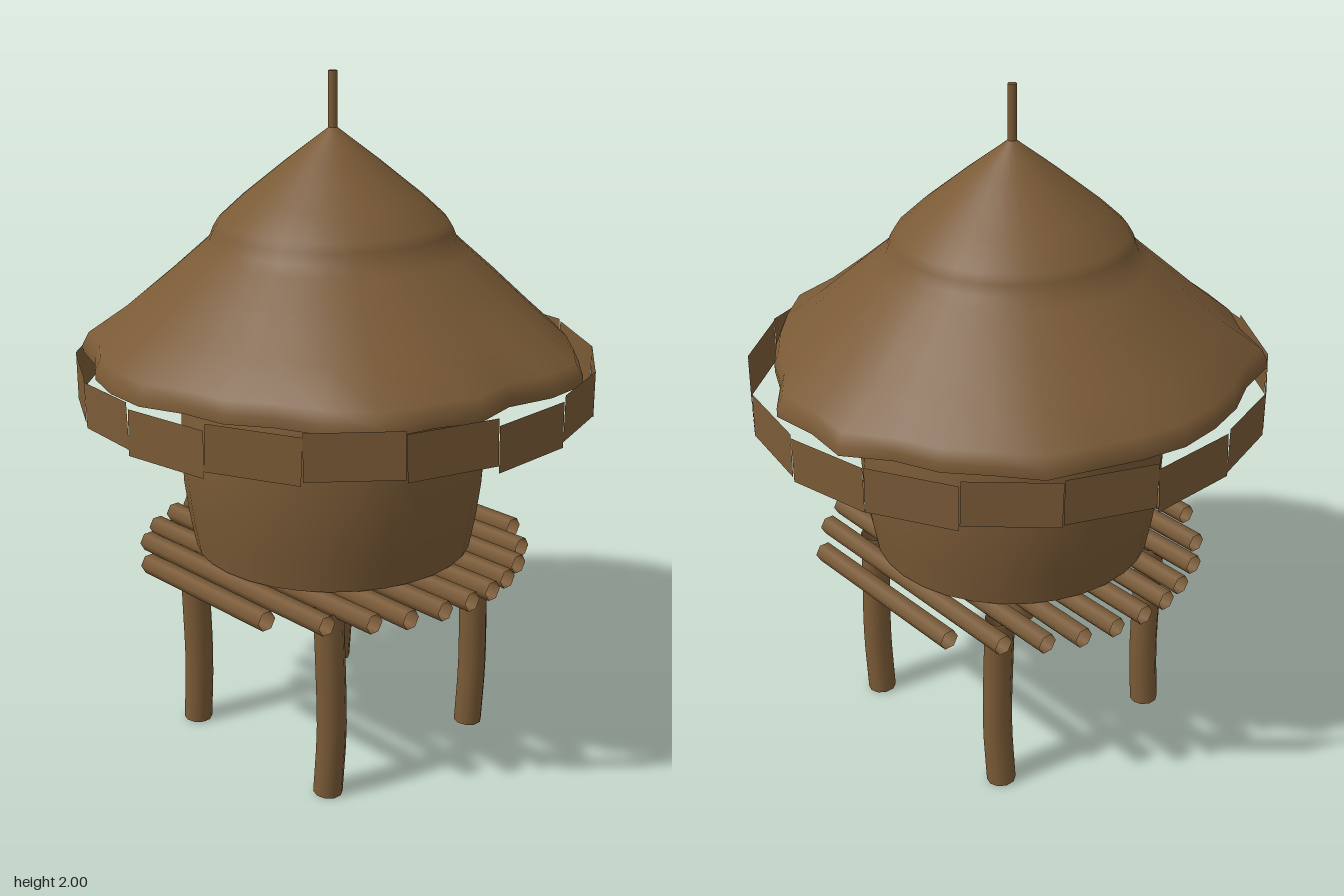
import * as THREE from 'three';
import { mergeVertices } from 'three/addons/utils/BufferGeometryUtils.js';

const CX = -0.01, CZ = 0.005; // axis of the hut
const v2 = (p) => new THREE.Vector2(p[0], p[1]);

// Small seeded random in -1..1
function seeded(seed) {
  let s = seed;
  return () => {
    s = (s * 16807) % 2147483647;
    return (s / 2147483647) * 2 - 1;
  };
}

// Rim radius of the thatch for every 1/32 turn, from +x towards +z
const RIM = [
  0.67, 0.714, 0.704, 0.743, 0.707, 0.667, 0.681, 0.663, 0.70, 0.704, 0.70,
  0.683, 0.728, 0.677, 0.682, 0.684, 0.69, 0.68, 0.677, 0.703, 0.675, 0.682,
  0.67, 0.724, 0.695, 0.724, 0.672, 0.677, 0.686, 0.707, 0.745, 0.714,
];

function smoothLathe(points, segments) {
  const g = new THREE.LatheGeometry(points.map(v2), segments);
  g.deleteAttribute('uv');
  g.deleteAttribute('normal');
  return mergeVertices(g, 1e-4);
}

// Two-tier thatch whose outer part follows the uneven rim
function roofGeometry() {
  const g = smoothLathe([
    [0.69, 1.19], [0.69, 1.215], [0.675, 1.25], [0.58, 1.33], [0.47, 1.43],
    [0.385, 1.505], [0.352, 1.535], [0.34, 1.565], [0.325, 1.59], [0.26, 1.65],
    [0.13, 1.755], [0.012, 1.845],
  ], 32);
  const pos = g.attributes.position;
  for (let i = 0; i < pos.count; i++) {
    const x = pos.getX(i), z = pos.getZ(i), r = Math.hypot(x, z);
    const k = (Math.round((Math.atan2(z, x) / (Math.PI * 2)) * 32) + 32) % 32;
    const t = Math.pow(Math.max(0, (r - 0.36) / 0.33), 2);
    const f = 1 + t * (RIM[k] / 0.69 - 1);
    pos.setX(i, x * f);
    pos.setZ(i, z * f);
  }
  g.computeVertexNormals();
  return g;
}

export function createModel() {
  const group = new THREE.Group();
  const wood = new THREE.MeshStandardMaterial({ color: 0x7a5a36, side: THREE.DoubleSide });
  wood.name = 'brown wood';
  const rand = seeded(4711);

  function add(name, geometry, x = 0, y = 0, z = 0) {
    const m = new THREE.Mesh(geometry, wood);
    m.name = name;
    m.position.set(x, y, z);
    group.add(m);
    return m;
  }

  // Roof and finial
  add('roof', roofGeometry(), CX, 0, CZ);
  add('finial', new THREE.CylinderGeometry(0.013, 0.013, 0.17, 8), CX, 1.915, CZ);

  // Barrel-shaped wall
  const wall = smoothLathe([
    [0.412, 0.622], [0.43, 0.72], [0.443, 0.82], [0.448, 0.93], [0.444, 1.03],
    [0.43, 1.13], [0.40, 1.24], [0.335, 1.37],
  ], 32);
  wall.computeVertexNormals();
  add('wall', wall, CX, 0, CZ);

  // Hanging skirt of thin upright panels around the eave
  for (let i = 0; i < 18; i++) {
    const a = (i / 18) * Math.PI * 2;
    const panel = add('skirtPanel', new THREE.PlaneGeometry(0.258, 0.13),
      Math.cos(a) * 0.738, 1.137 + rand() * 0.012, Math.sin(a) * 0.738);
    panel.rotation.set(0, Math.PI / 2 - a, rand() * 0.06, 'YXZ');
  }

  // Floor of round poles cut to a circle
  for (let i = 0; i < 11; i++) {
    const z = 0.5 - i * 0.098;
    const half = Math.sqrt(0.565 * 0.565 - z * z);
    const log = add('floorLog',
      new THREE.CylinderGeometry(0.03, 0.03, half * 2, 6, 1, true), CX, 0.593, z);
    log.rotation.set(0, rand() * 0.012, Math.PI / 2, 'YXZ');
  }

  // Four slightly crooked posts
  for (const [x, z, bend] of [[0.29, 0.31, 0.012], [-0.305, 0.31, 0.008],
    [0.29, -0.29, 0.008], [-0.305, -0.29, 0.012]]) {
    const path = new THREE.CatmullRomCurve3([
      new THREE.Vector3(x, 0, z),
      new THREE.Vector3(x + bend, 0.2, z - 0.004),
      new THREE.Vector3(x + bend, 0.4, z),
      new THREE.Vector3(x + bend * 0.3, 0.58, z),
    ]);
    add('post', new THREE.TubeGeometry(path, 8, 0.043, 10, false));
  }

  return group;
}
